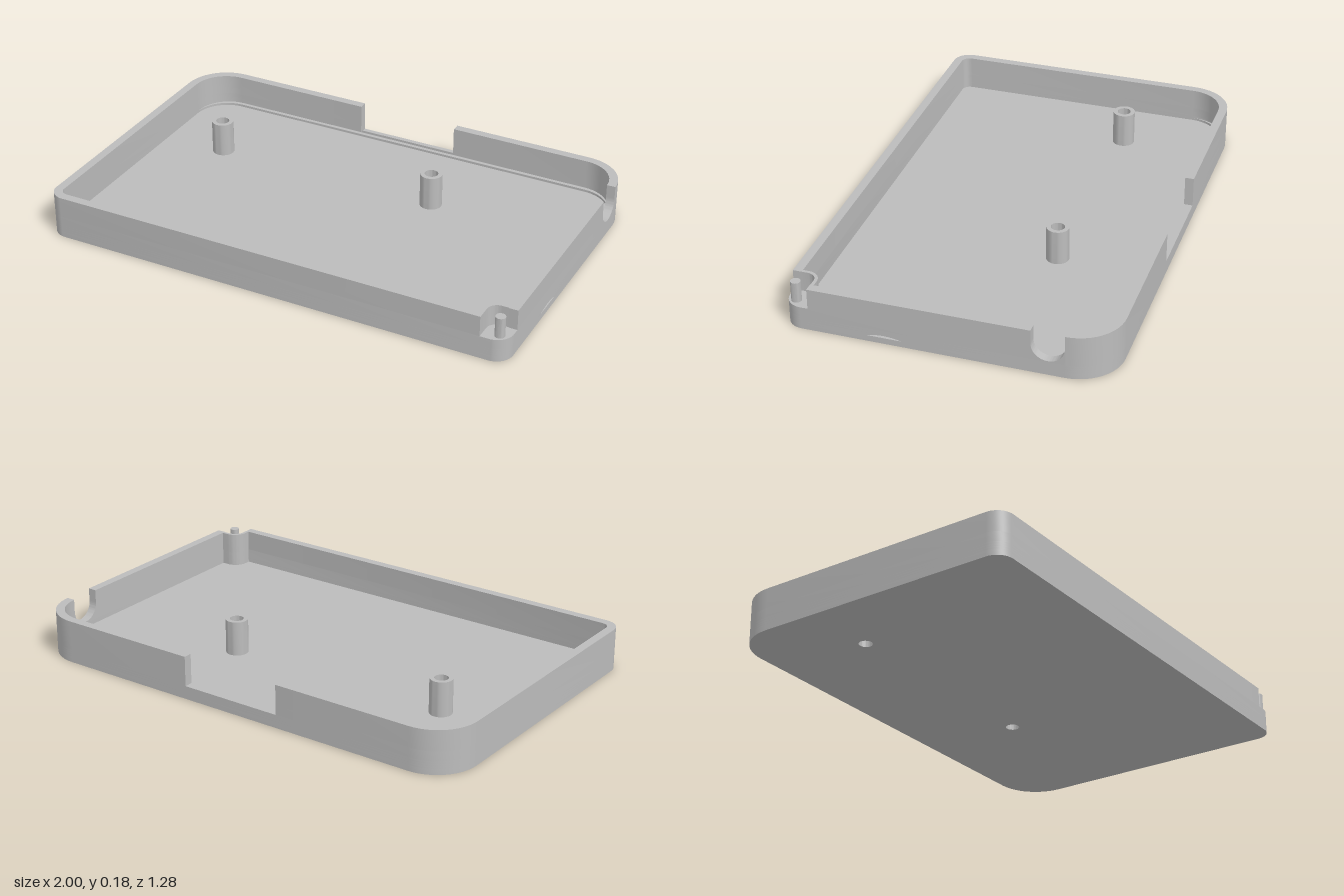
import * as THREE from 'three';
import { toCreasedNormals } from 'three/addons/utils/BufferGeometryUtils.js';

const W = 1, D = 0.64, H = 0.18, WALL = 0.036;
const FLOOR = 0.035, SILL = 0.055, SEAT = 0.095;

// Plan corners [centre x, centre z, radius, start angle]
const BR = [0.82, -0.46, 0.18, -Math.PI / 2];
const FR = [0.93, 0.57, 0.07, 0];
const FL = [-0.93, 0.57, 0.07, Math.PI / 2];
const BL = [-0.82, -0.46, 0.18, Math.PI];

function arc([cx, cz, r, a0], inset) {
  const pts = [];
  for (let i = 0; i <= 12; i++) {
    const a = a0 + (i / 12) * Math.PI / 2;
    pts.push([cx + (r - inset) * Math.cos(a), cz + (r - inset) * Math.sin(a)]);
  }
  return pts;
}

const toVec = pts => pts.map(([x, z]) => new THREE.Vector2(x, z));

// Closed outline of the case; extra points may be inserted on the right side
const outline = (inset, rightSide = []) => [
  ...arc(BR, inset), ...rightSide, ...arc(FR, inset), ...arc(FL, inset), ...arc(BL, inset)];

// Open stretch of wall from one end, round the given corners, to another end
function strip(start, corners, end) {
  const side = t => [start(t), ...corners.flatMap(c => arc(c, t)), end(t)];
  return [...side(0), ...side(WALL).reverse()];
}

// Extrude a plan shape between two heights
function slab(pts, y0, y1, holes = []) {
  const shape = new THREE.Shape(toVec(pts));
  for (const h of holes) shape.holes.push(h);
  const g = new THREE.ExtrudeGeometry(shape, { depth: y1 - y0, bevelEnabled: false, curveSegments: 24 });
  g.rotateX(Math.PI / 2).translate(0, y1, 0);
  return g;
}

// Extrude a side profile (z, y) through the right wall
function sidePiece(shape, depth) {
  const g = new THREE.ExtrudeGeometry(shape, { depth, bevelEnabled: false, curveSegments: 24 });
  g.rotateY(-Math.PI / 2).translate(W, 0, 0);
  return g;
}

export function createModel() {
  const model = new THREE.Group();
  model.name = 'enclosureTray';
  const grey = new THREE.MeshStandardMaterial({ color: 0xbcbcbc });
  grey.name = 'grey plastic';
  const add = (name, geometry) => {
    const mesh = new THREE.Mesh(toCreasedNormals(geometry, 0.6), grey);
    mesh.name = name;
    model.add(mesh);
    return mesh;
  };

  // Floor with screw holes; its upper layer has a small pry slot on the right
  const posts = [[-0.69, -0.22], [0.295, -0.22]];
  const screwHoles = () => posts.map(([x, z]) => new THREE.Path().absarc(x, z, 0.028, 0, Math.PI * 2, true));
  const slot = [[W, 0.17], [0.97, 0.17], [0.97, 0.31], [W, 0.31]];
  add('floor', slab(outline(0), 0, 0.025, screwHoles()));
  add('floorUpperLayer', slab(outline(0, slot), 0.025, FLOOR, screwHoles()));
  const slotArch = new THREE.Shape();
  slotArch.moveTo(0.17, 0.025);
  slotArch.quadraticCurveTo(0.24, 0.044, 0.31, 0.025);
  slotArch.lineTo(0.31, FLOOR);
  slotArch.lineTo(0.17, FLOOR);
  add('prySlotArch', sidePiece(slotArch, 0.03));

  // Lower wall, with a groove along the inside of the back
  const inner = outline(WALL);
  const grooved = inner.map(([x, z]) => [x, z < -0.3 ? z - 0.016 : z]);
  add('wallBase', slab(outline(0), FLOOR, 0.045, [new THREE.Path(toVec(inner))]));
  add('wallGroove', slab(outline(0), 0.045, SILL, [new THREE.Path(toVec(grooved))]));

  // Upper wall, broken by the back opening, the cable notch and the corner seat
  const backRight = t => [0.22, -D + t], backLeft = t => [-0.22, -D + t];
  const notchBack = t => [W - t, -0.46], notchFront = t => [W - t, -0.33];
  const seatSide = t => [W - t, 0.54], seatFront = t => [0.893, D - t];
  add('backCornerWall', slab(strip(backRight, [BR], notchBack), SILL, H));
  add('wallMiddle', slab(strip(notchFront, [FR, FL, BL], backLeft), SILL, SEAT));
  add('rightWallTop', slab(strip(notchFront, [], seatSide), SEAT, H));
  add('frontLeftWallTop', slab(strip(seatFront, [FL, BL], backLeft), SEAT, H));

  // Rounded bottom of the cable notch
  const notch = new THREE.Shape();
  notch.moveTo(-0.46, SILL);
  notch.lineTo(-0.33, SILL);
  notch.lineTo(-0.33, 0.125);
  notch.absarc(-0.395, 0.125, 0.065, 0, -Math.PI, true);
  add('cableNotch', sidePiece(notch, WALL));

  // Corner seat: solid boss, thin curved shield and pin
  const curve = r => arc([0.935, 0.58, r, Math.PI], 0);
  const edge = curve(0.055), innerEdge = curve(0.042);
  add('cornerBoss', slab([[0.88, 0.61], ...edge, [0.97, 0.525], [0.97, 0.61]], FLOOR, SEAT));
  add('cornerShield', slab([[0.88, 0.61], ...edge, [0.97, 0.525], [0.97, 0.538],
    ...innerEdge.reverse(), [0.893, 0.61]], SEAT, H));
  add('cornerPin', new THREE.CylinderGeometry(0.02, 0.02, H - SEAT, 24))
    .position.set(0.957, (H + SEAT) / 2, 0.602);

  // Hollow screw posts
  const profile = toVec([[0.046, FLOOR], [0.046, H], [0.028, H], [0.028, FLOOR]]);
  for (const [x, z] of posts) {
    add('screwPost', new THREE.LatheGeometry(profile, 32)).position.set(x, 0, z);
  }
  return model;
}
